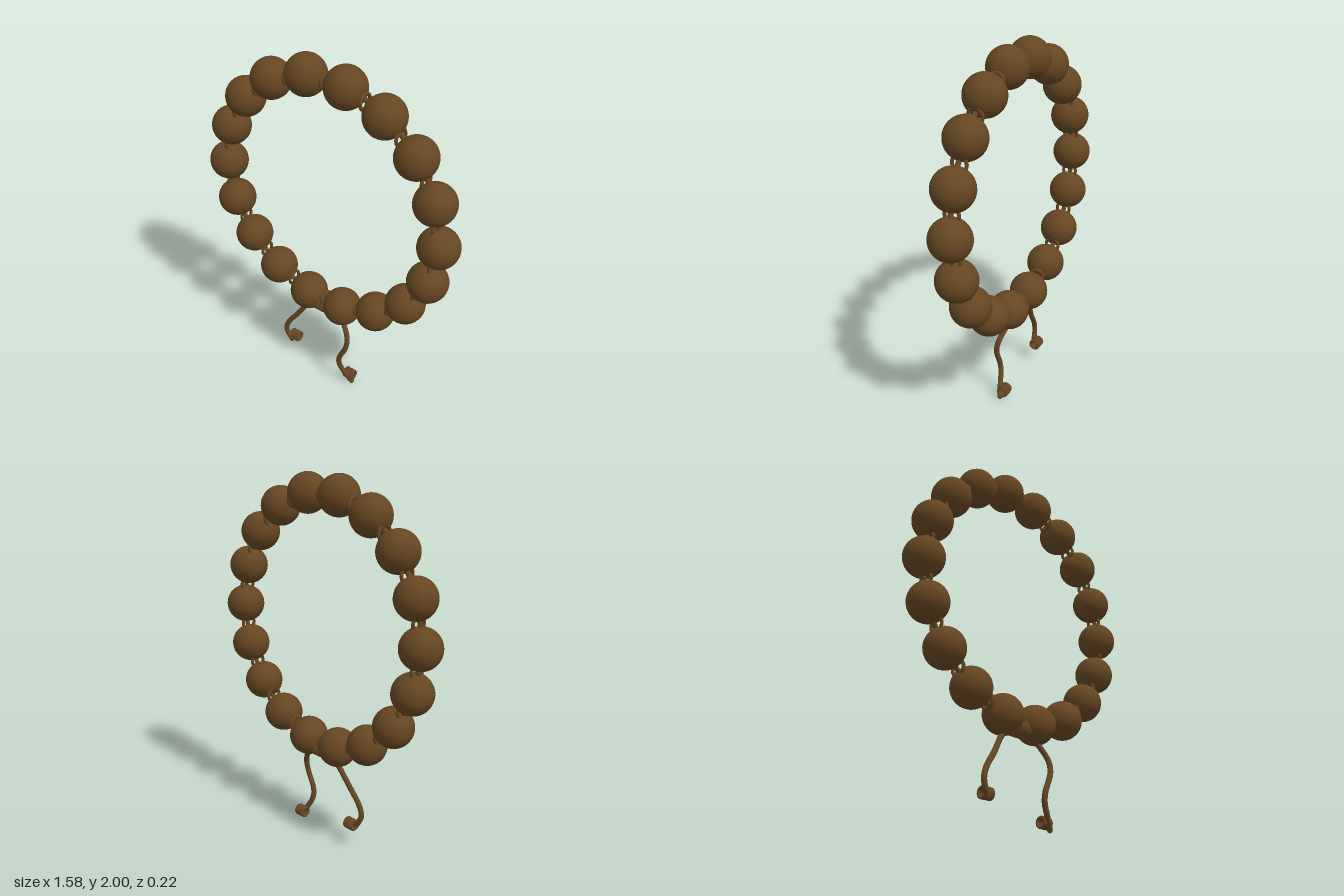
import * as THREE from 'three';

const CENTER_Y = 1.221, RING_R = 0.682, BEADS = 18, BEAD_R = 0.108;

export function createModel() {
  const bracelet = new THREE.Group();
  bracelet.name = 'beadBracelet';
  const brown = new THREE.MeshStandardMaterial({ color: 0x654622 });
  brown.name = 'darkBrown';

  const add = (name, geometry, x = 0, y = 0, z = 0) => {
    const mesh = new THREE.Mesh(geometry, brown);
    mesh.name = name;
    mesh.position.set(x, y, z);
    bracelet.add(mesh);
    return mesh;
  };

  // Cord running through all the beads
  add('cord', new THREE.TorusGeometry(RING_R, 0.013, 10, 108), 0, CENTER_Y, 0);

  // Beads, with a thin spacer ring in each gap; every ring's axis lies along x
  const beadGeo = new THREE.SphereGeometry(BEAD_R, 40, 28);
  const spacerGeo = new THREE.TorusGeometry(0.039, 0.009, 10, 32).rotateY(Math.PI / 2);
  const step = (Math.PI * 2) / BEADS;
  const gapR = RING_R * Math.cos(step / 2);
  for (let i = 0; i < BEADS; i++) {
    const a = i * step, g = a + step / 2;
    add('bead', beadGeo, RING_R * Math.cos(a), CENTER_Y + RING_R * Math.sin(a));
    add('spacerRing', spacerGeo, gapR * Math.cos(g), CENTER_Y + gapR * Math.sin(g));
  }

  // Wound knots: rows of rings side by side along x
  const addCoil = (name, x, y, turns, width, radius, tube) => {
    const geo = new THREE.TorusGeometry(radius, tube, 10, 32).rotateY(Math.PI / 2);
    for (let i = 0; i < turns; i++) {
      add(name, geo, x + (i / (turns - 1) - 0.5) * (width - 2 * tube), y);
    }
  };
  addCoil('slidingKnot', 0, 0.505, 5, 0.11, 0.041, 0.011);
  addCoil('leftEndKnot', 0.183, 0.051, 5, 0.064, 0.026, 0.007);
  addCoil('rightEndKnot', -0.228, 0.129, 5, 0.066, 0.026, 0.007);

  // Loose cord tails, closed at both ends
  const addTail = (name, points) => {
    const curve = new THREE.CatmullRomCurve3(points.map((p) => new THREE.Vector3(...p)));
    add(name, new THREE.TubeGeometry(curve, 64, 0.015, 12));
    const capGeo = new THREE.SphereGeometry(0.015, 12, 8);
    for (const p of [points[0], points[points.length - 1]]) add(name + 'Tip', capGeo, ...p);
  };
  addTail('leftTail', [
    [0.05, 0.5, 0], [0.13, 0.445, 0.01], [0.182, 0.365, 0.035], [0.182, 0.3, 0.047],
    [0.138, 0.19, 0.05], [0.138, 0.14, 0.045], [0.17, 0.075, 0.033], [0.208, 0.017, 0.015],
  ]);
  addTail('rightTail', [
    [-0.05, 0.5, 0], [-0.12, 0.445, 0], [-0.195, 0.335, 0.018], [-0.26, 0.24, 0.03],
    [-0.274, 0.18, 0.033], [-0.24, 0.108, 0.025],
  ]);

  return bracelet;
}
